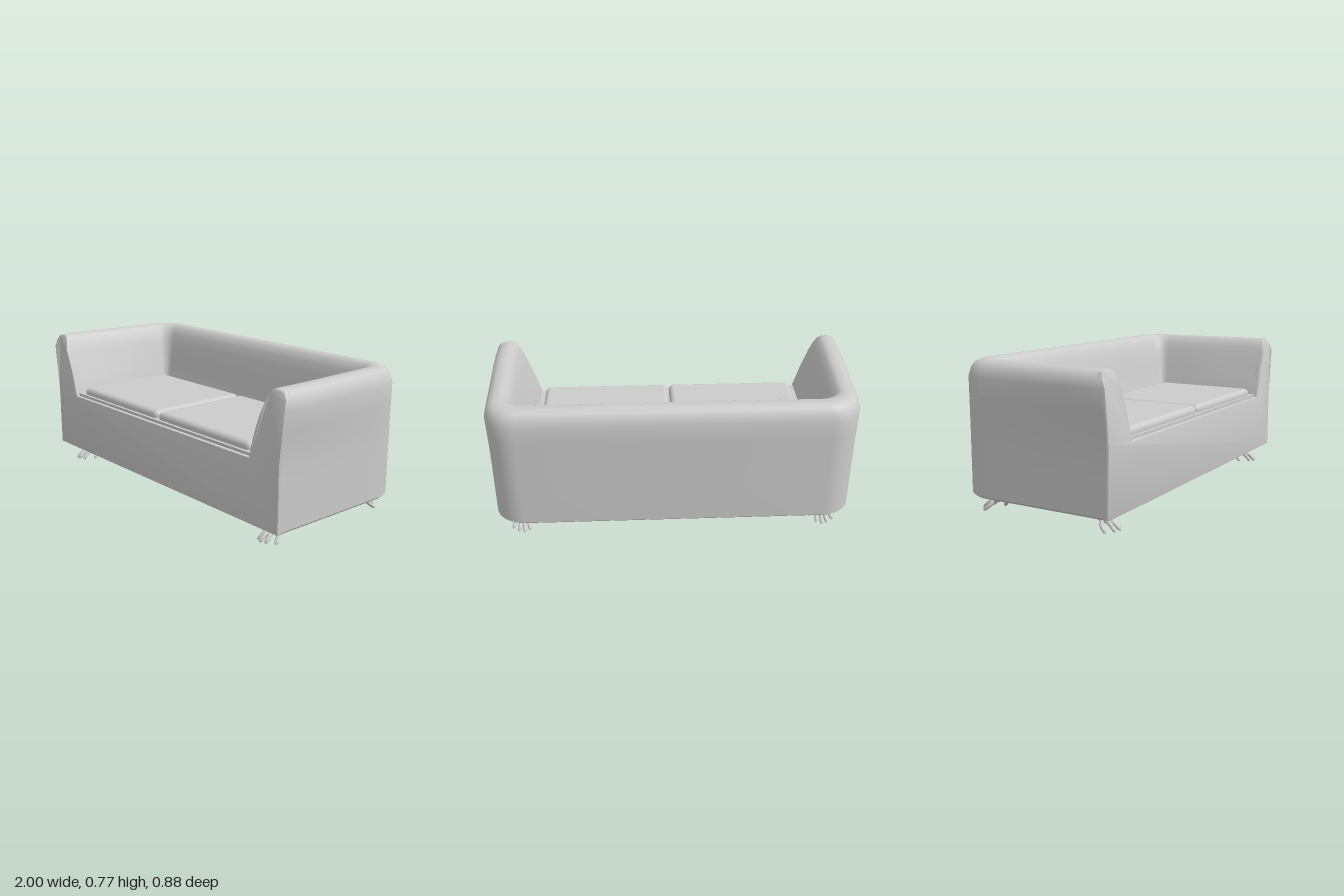
import * as THREE from 'three';
import { toCreasedNormals } from 'three/addons/utils/BufferGeometryUtils.js';
import { RoundedBoxGeometry } from 'three/addons/geometries/RoundedBoxGeometry.js';

const grey = new THREE.MeshStandardMaterial({ color: 0xcccccc });
const greyDouble = new THREE.MeshStandardMaterial({ color: 0xcccccc, side: THREE.DoubleSide });

function add(parent, name, geometry, material = grey) {
  const mesh = new THREE.Mesh(geometry, material);
  mesh.name = name;
  parent.add(mesh);
  return mesh;
}

// U-shaped plan path, inset by d from the outer walls, from left front round the back to right front
function planPath(d) {
  const hx = 0.968 - d, back = -0.44 + d, r = Math.max(0.16 - d * 0.6, 0.04), front = 0.43;
  const half = [];
  for (let i = 0; i < 6; i++) half.push([hx, front + (back + r - front) * i / 6]);
  for (let i = 0; i <= 10; i++) {
    const a = i / 10 * Math.PI / 2;
    half.push([hx - r + r * Math.cos(a), back + r - r * Math.sin(a)]);
  }
  return [...half, ...half.map(([x, z]) => [-x, z]).reverse()];
}

// Arms flare outwards towards the front, and their front edge leans back near the top
const lean = y => Math.max(0, y - 0.7) * 0.3;
const flare = (y, z) => 0.034 * THREE.MathUtils.smoothstep(y, 0.42, 0.76) * THREE.MathUtils.clamp((z + 0.44) / 0.7, 0, 1);

// Arms and back in one sweep: [inset, height] from outer foot over the top to the inner foot
function shellGeometry() {
  const profile = [[0.012, 0.1], [0, 0.112], [0, 0.3], [0, 0.42], [0, 0.5], [0, 0.6], [0, 0.7], [0.012, 0.742],
    [0.03, 0.767], [0.055, 0.78], [0.095, 0.782], [0.12, 0.768], [0.14, 0.73], [0.155, 0.68],
    [0.172, 0.6], [0.187, 0.53], [0.205, 0.45], [0.215, 0.4]];
  const rows = profile.map(([d]) => planPath(d));
  const n = rows[0].length, pos = [], index = [];
  profile.forEach(([, y], j) => rows[j].forEach(([x, z], i) => {
    const k = (0.43 - z) / 0.87;
    pos.push(x + Math.sign(x) * flare(y, z), y, z - lean(y) * Math.max(0, 1 - 2 * k));
  }));
  for (let j = 0; j < profile.length - 1; j++) {
    for (let i = 0; i < n - 1; i++) {
      const a = j * n + i, b = a + n;
      index.push(a, a + 1, b, a + 1, b + 1, b);
    }
  }
  const g = new THREE.BufferGeometry();
  g.setAttribute('position', new THREE.Float32BufferAttribute(pos, 3));
  g.setIndex(index);
  return toCreasedNormals(g, 0.75);
}

// Front panel with the curved cut-out between the arms
function frontPanelGeometry() {
  const half = [[0.96, 0.107], [0.96, 0.44], [0.972, 0.56], [0.988, 0.7], [0.984, 0.74], [0.966, 0.766], [0.94, 0.774],
    [0.905, 0.774], [0.884, 0.758], [0.862, 0.7], [0.835, 0.64], [0.812, 0.58], [0.79, 0.51], [0.768, 0.424]];
  const pts = [...half, ...half.map(([x, y]) => [-x, y]).reverse()].map(p => new THREE.Vector2(...p));
  const g = new THREE.ExtrudeGeometry(new THREE.Shape(pts), {
    depth: 0.02, bevelEnabled: true, bevelSize: 0.006, bevelThickness: 0.007, bevelSegments: 2
  });
  g.translate(0, 0, 0.413);
  const p = g.attributes.position;
  for (let i = 0; i < p.count; i++) p.setZ(i, p.getZ(i) - lean(p.getY(i)));
  return toCreasedNormals(g, 0.6);
}

// A tapered, rounded limb through a few points
function limb(points, r0, r1, flat = 1) {
  const curve = new THREE.CatmullRomCurve3(points.map(p => new THREE.Vector3(...p)));
  const steps = 14, sides = 10;
  const g = new THREE.TubeGeometry(curve, steps, 1, sides, false);
  const p = g.attributes.position, v = new THREE.Vector3();
  for (let i = 0; i <= steps; i++) {
    const t = i / steps, c = curve.getPointAt(t);
    const tip = t > 0.85 ? Math.sqrt(Math.max(0, 1 - ((t - 0.85) / 0.15) ** 2)) : 1;
    const r = (r0 + (r1 - r0) * t) * tip;
    for (let j = 0; j <= sides; j++) {
      const k = i * (sides + 1) + j;
      v.fromBufferAttribute(p, k).sub(c).multiplyScalar(r);
      p.setXYZ(k, c.x + v.x * flat, c.y + v.y, c.z + v.z);
    }
  }
  g.computeVertexNormals();
  return g;
}

// Hand-shaped foot reaching outwards along +z, thumb on the -x side
function handFoot() {
  const hand = new THREE.Group();
  add(hand, 'palm', limb([[0, 0.125, 0.235], [0, 0.092, 0.27], [0, 0.072, 0.305], [0, 0.05, 0.35]], 0.018, 0.017, 1.7));
  const tips = [[-0.036, 0.012, 0.395], [-0.008, 0.012, 0.413], [0.024, 0.012, 0.403], [0.062, 0.011, 0.372]];
  tips.forEach(([x, y, z], i) => {
    const kx = -0.02 + i * 0.0145;
    add(hand, 'finger', limb([[kx * 0.8, 0.074, 0.295], [kx * 1.2, 0.062, 0.33],
      [(kx + x) / 2, 0.043, z - 0.035], [x, y, z]], 0.0125, 0.0095));
  });
  add(hand, 'thumb', limb([[-0.016, 0.084, 0.27], [-0.037, 0.058, 0.295], [-0.053, 0.033, 0.313], [-0.064, 0.011, 0.335]], 0.014, 0.0095));
  return hand;
}

export function createModel() {
  const sofa = new THREE.Group();
  sofa.name = 'sofa';

  add(sofa, 'armsAndBack', shellGeometry(), greyDouble);
  add(sofa, 'frontPanel', frontPanelGeometry());

  // Underside
  const outline = new THREE.Shape(planPath(0.012).map(([x, z]) => new THREE.Vector2(x, -z)));
  const floor = new THREE.ExtrudeGeometry(outline, { depth: 0.01, bevelEnabled: false });
  add(sofa, 'underside', floor.rotateX(-Math.PI / 2).translate(0, 0.1, 0));

  // Seat base and two cushions
  const base = new THREE.BoxGeometry(1.53, 0.335, 0.66);
  add(sofa, 'seatBase', base.translate(0, 0.2775, 0.09));
  for (const side of [1, -1]) {
    const cushion = add(sofa, side > 0 ? 'leftCushion' : 'rightCushion', new RoundedBoxGeometry(0.726, 0.1, 0.6, 5, 0.03));
    cushion.position.set(side * 0.367, 0.436, 0.104);
  }

  // Four feet, mirrored left to right and front to back
  for (const sx of [1, -1]) {
    for (const sz of [1, -1]) {
      const foot = handFoot();
      foot.name = (sz > 0 ? 'front' : 'back') + (sx > 0 ? 'Left' : 'Right') + 'Foot';
      foot.scale.set(sx, 1, sz);
      foot.position.set(sx * 0.825, 0, sz > 0 ? 0 : 0.012);
      sofa.add(foot);
    }
  }
  return sofa;
}
